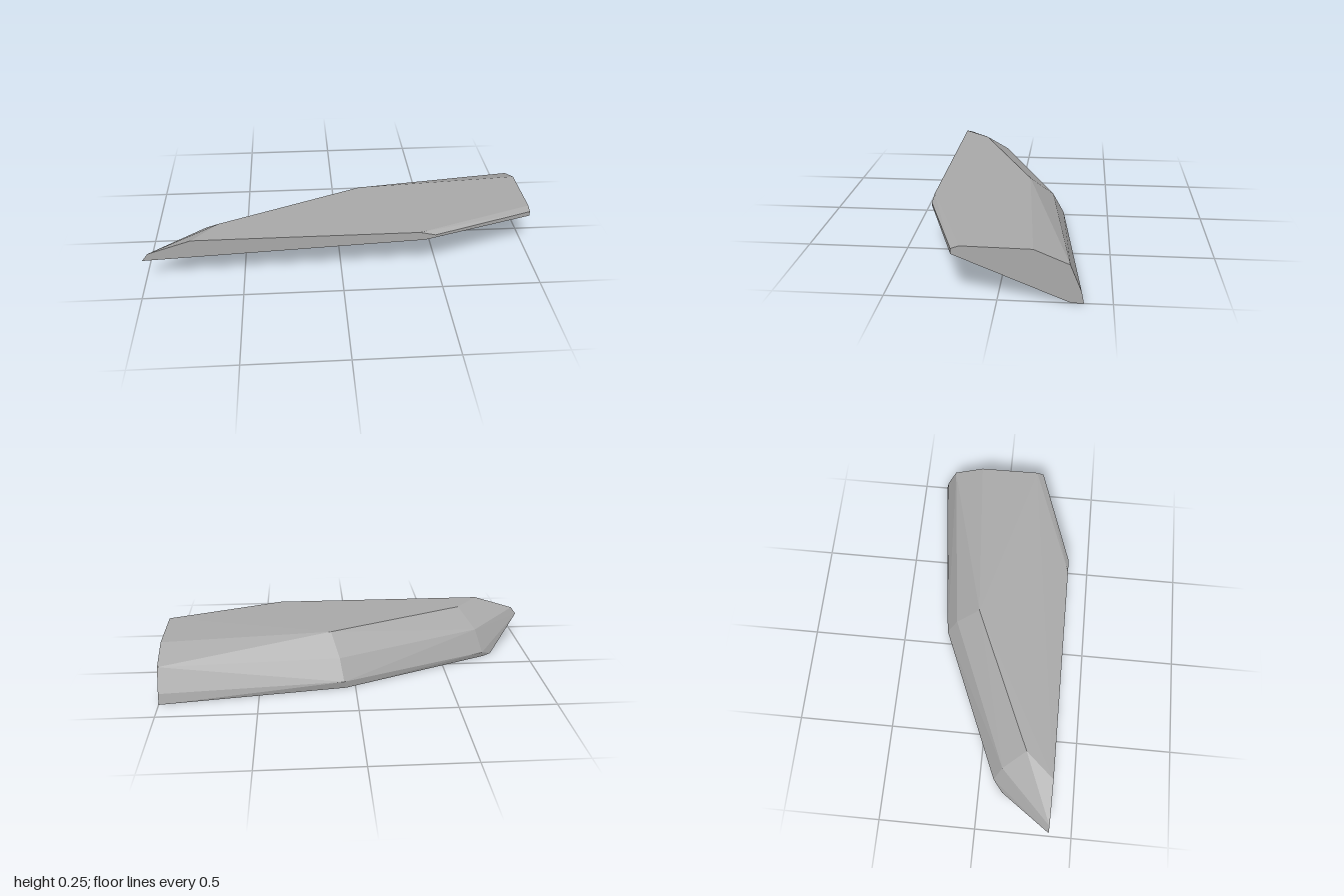
import * as THREE from 'three';
import { ConvexGeometry } from 'three/addons/geometries/ConvexGeometry.js';

// Outlines of the faceted slab, each running from the square-cut end to the tip
const outlines = {
  top: [[1, 0.25, 0.16], [1, 0.246, -0.155], [0.12, 0.25, -0.085], [-0.62, 0.25, 0.23], [-0.75, 0.25, 0.375], [0.39, 0.25, 0.375]],
  backCrease: [[1, 0.18, -0.313], [0.08, 0.15, -0.205], [-0.7, 0.155, 0.115], [-0.97, 0.18, 0.375]],
  lowerBand: [[1, 0.055, -0.364], [0.06, 0.04, -0.261], [-0.74, 0.03, 0.074]],
  foot: [[1, 0, -0.375], [1, 0, -0.32], [0.05, 0, -0.25], [-0.75, 0, 0.09], [-0.8, 0, 0.125]],
  tip: [[-1, 0.14, 0.375]],
  frontCorner: [[0.47, 0.232, 0.375], [1, 0.236, 0.197], [0.42, 0.205, 0.375], [0.47, 0.217, 0.375], [1, 0.211, 0.197]],
};

export function createModel() {
  const stone = new THREE.MeshStandardMaterial({ color: 0xa8a8a8 });
  stone.name = 'stone';
  stone.flatShading = true;

  // Flat facets stretched over all the outlines
  const points = Object.values(outlines).flat().map((p) => new THREE.Vector3(...p));
  const slab = new THREE.Mesh(new ConvexGeometry(points), stone);
  slab.name = 'rockSlab';

  const group = new THREE.Group();
  group.name = 'rock';
  group.add(slab);
  return group;
}
